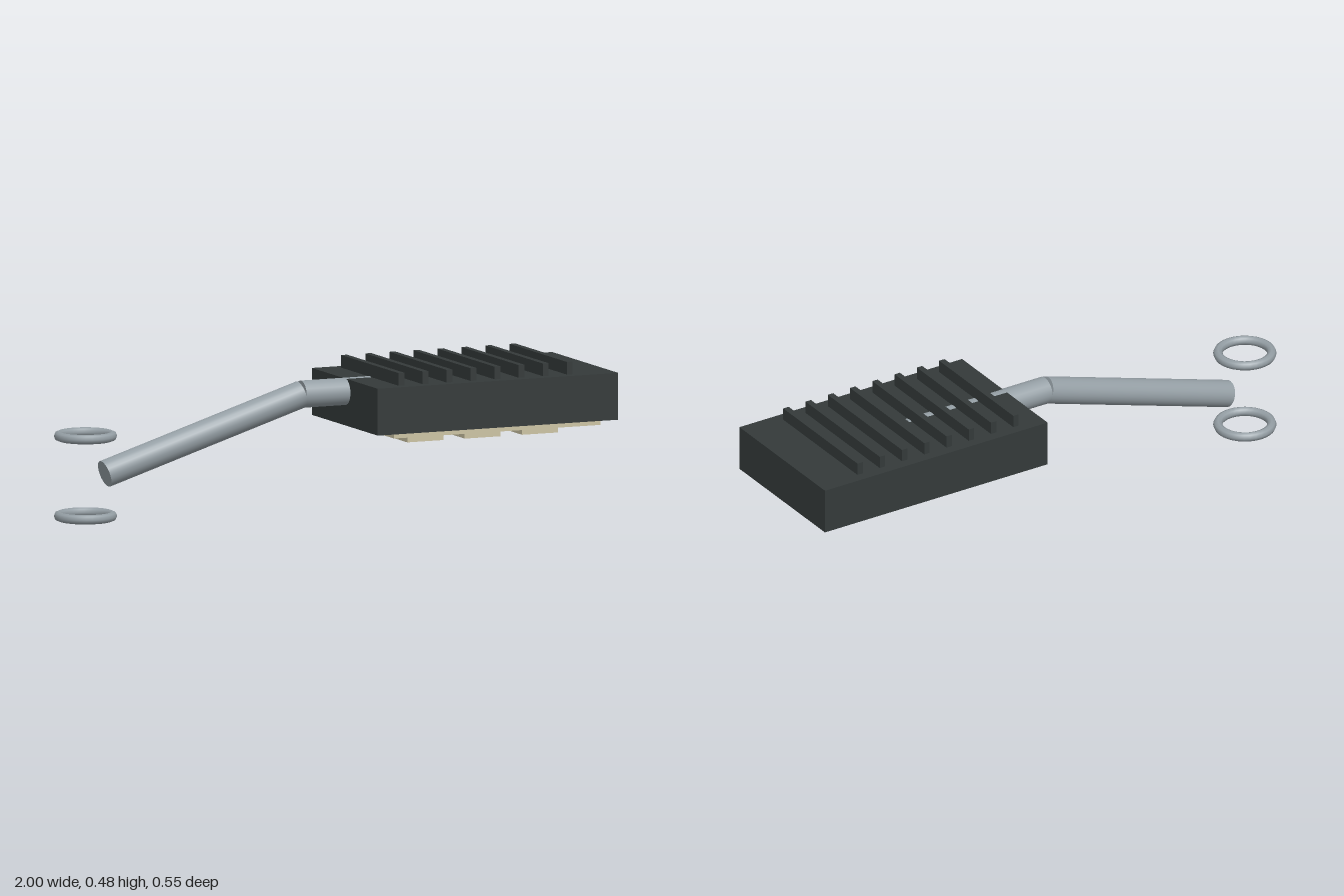
import * as THREE from 'three';

const material = (name, color) => {
  const m = new THREE.MeshStandardMaterial({ color });
  m.name = name;
  return m;
};

export function createModel() {
  const model = new THREE.Group();
  model.name = 'streetLampHead';
  const darkCasing = material('darkCasing', 0x343a3a);
  const greyMetal = material('greyMetal', 0x959fa5);
  const paleLens = material('paleLens', 0xcdc4a4);

  const add = (name, geometry, mat, x, y, z) => {
    const mesh = new THREE.Mesh(geometry, mat);
    mesh.name = name;
    mesh.position.set(x, y, z);
    model.add(mesh);
    return mesh;
  };

  // Lamp housing with a row of cooling fins
  add('housing', new THREE.BoxGeometry(0.91, 0.163, 0.545), darkCasing, 0.545, 0.3535, 0);
  for (let i = 0; i < 8; i++) {
    add('coolingFin', new THREE.BoxGeometry(0.022, 0.06, 0.473), darkCasing, 0.196 + i * 0.091, 0.449, 0);
  }

  // Light panel underneath with two rows of three lenses
  add('lightPanel', new THREE.BoxGeometry(0.782, 0.03, 0.456), paleLens, 0.563, 0.266, 0);
  for (const x of [0.309, 0.526, 0.743]) {
    for (const z of [-0.1375, 0.1375]) {
      add('lens', new THREE.BoxGeometry(0.136, 0.036, 0.1), paleLens, x, 0.246, z);
    }
  }

  // Bent arm made of two straight tubes
  const tube = (name, a, b) => {
    const from = new THREE.Vector3(...a);
    const dir = new THREE.Vector3(...b).sub(from);
    const mid = from.clone().addScaledVector(dir, 0.5);
    const mesh = add(name, new THREE.CylinderGeometry(0.0473, 0.0473, dir.length(), 24), greyMetal, mid.x, mid.y, mid.z);
    mesh.quaternion.setFromUnitVectors(new THREE.Vector3(0, 1, 0), dir.normalize());
  };
  tube('slopedArm', [-0.818, 0.158, 0], [-0.075, 0.39, 0]);
  tube('straightArm', [-0.075, 0.39, 0], [0.489, 0.39, 0]);

  // Pole clamp rings
  for (const y of [0.0165, 0.295]) {
    const ring = add('clampRing', new THREE.TorusGeometry(0.0927, 0.0165, 8, 32), greyMetal, -0.891, y, 0);
    ring.rotation.x = Math.PI / 2;
  }

  return model;
}
